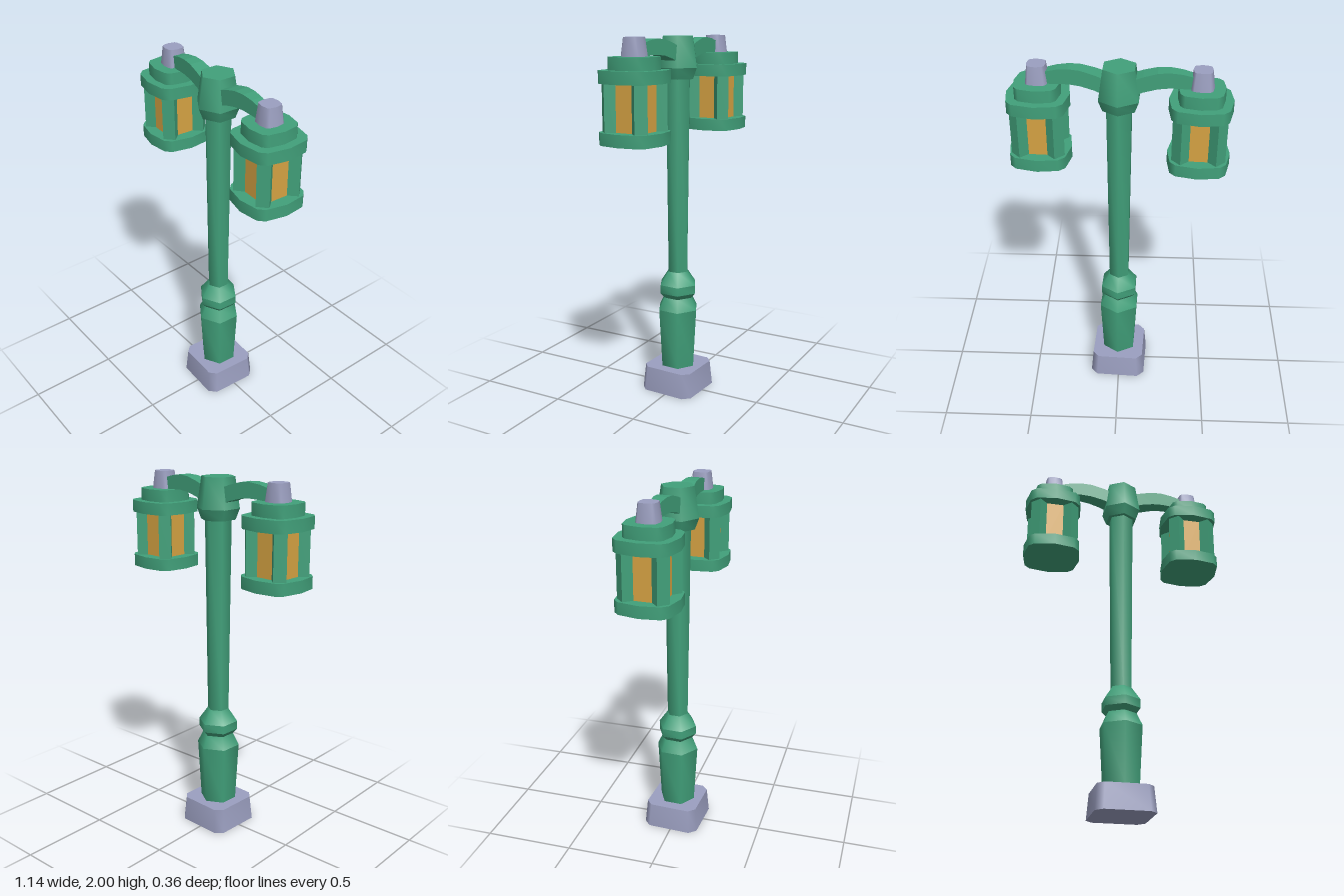
import * as THREE from 'three';

const mat = (name, color) => {
  const m = new THREE.MeshStandardMaterial({ color });
  m.name = name;
  return m;
};

// Closed prism: an [x, z] outline scaled at each [y, scale] level; sides smooth around, hard between levels.
function loft(outline, levels, flat = false) {
  const pos = [], idx = [], n = outline.length;
  const ring = ([y, s]) => {
    const start = pos.length / 3;
    outline.forEach(([x, z]) => pos.push(x * s, y, z * s));
    return start;
  };
  for (let k = 0; k < levels.length - 1; k++) {
    const lo = ring(levels[k]), hi = ring(levels[k + 1]);
    for (let i = 0; i < n; i++) {
      const j = (i + 1) % n;
      idx.push(lo + i, hi + i, hi + j, lo + i, hi + j, lo + j);
    }
  }
  const bottom = ring(levels[0]), top = ring(levels[levels.length - 1]);
  for (let i = 1; i < n - 1; i++) {
    idx.push(bottom, bottom + i, bottom + i + 1);
    idx.push(top, top + i + 1, top + i);
  }
  let g = new THREE.BufferGeometry();
  g.setAttribute('position', new THREE.Float32BufferAttribute(pos, 3));
  g.setIndex(idx);
  if (flat) g = g.toNonIndexed();
  g.computeVertexNormals();
  return g;
}

// Repeats the points of one side around four sides.
const fourfold = (side) => [0, 1, 2, 3].flatMap((q) => {
  const c = [1, 0, -1, 0][q], s = [0, 1, 0, -1][q];
  return side.map(([x, z]) => [x * c - z * s, x * s + z * c]);
});

// Curved arm in profile, tapering in depth towards the lantern.
function armGeometry() {
  const upper = [[0.06, 1.945], [0.12, 1.967], [0.19, 1.986], [0.25, 1.99], [0.31, 1.983], [0.38, 1.965]];
  const lower = [[0.38, 1.9], [0.31, 1.907], [0.25, 1.909], [0.19, 1.903], [0.12, 1.885], [0.06, 1.86]];
  const shape = new THREE.Shape([...upper, ...lower].map(([x, y]) => new THREE.Vector2(x, y)));
  const g = new THREE.ExtrudeGeometry(shape, { depth: 2, bevelEnabled: false });
  const p = g.attributes.position;
  for (let i = 0; i < p.count; i++) {
    const half = THREE.MathUtils.mapLinear(p.getX(i), 0.08, 0.36, 0.046, 0.028);
    p.setZ(i, (p.getZ(i) - 1) * half);
  }
  g.computeVertexNormals();
  return g;
}

export function createModel() {
  const green = mat('green paint', 0x41a07a);
  const stone = mat('grey stone', 0x9b9fc0);
  const amber = mat('amber glass', 0xd6a343);

  const model = new THREE.Group();
  model.name = 'streetLamp';
  const add = (parent, name, geometry, material) => {
    const m = new THREE.Mesh(geometry, material);
    m.name = name;
    parent.add(m);
    return m;
  };

  // Base and six-sided post
  const square = fourfold([[0.16, -0.122], [0.16, 0.122]]);
  const hexagon = Array.from({ length: 6 }, (_, i) => {
    const a = Math.PI / 6 + (i * Math.PI) / 3;
    return [Math.cos(a), Math.sin(a)];
  });
  add(model, 'base', loft(square, [[0, 1], [0.14, 0.925]]), stone);
  add(model, 'post', loft(hexagon, [
    [0.14, 0.102], [0.48, 0.121], [0.55, 0.087], [0.578, 0.111], [0.626, 0.111], [0.7, 0.06], [1.78, 0.073],
  ]), green);
  add(model, 'postHead', loft(hexagon, [[1.775, 0.094], [1.835, 0.117], [2, 0.091]]), green);

  // Lantern outlines: bulged square with cut corners, and one corner bar
  const bulged = fourfold([[0.162, 0], [0.141, 0.113], [0.11, 0.144]]);
  const corner = [[0.137, 0.09], [0.09, 0.137], [0.048, 0.097], [0.097, 0.048]];
  const barGeometry = loft(corner, [[1.53, 1], [1.78, 1]], true);
  const glassGeometry = new THREE.BoxGeometry(0.097, 0.25, 0.194);
  const arm = armGeometry();

  // Two opposite arms, each carrying a lantern
  for (const [side, turn] of [['left', 0], ['right', Math.PI]]) {
    const half = new THREE.Group();
    half.name = side + 'Branch';
    half.rotation.y = turn;
    model.add(half);
    add(half, 'arm', arm, green);

    const lantern = new THREE.Group();
    lantern.name = side + 'Lantern';
    lantern.position.x = 0.41;
    half.add(lantern);
    add(lantern, 'lowerRim', loft(bulged, [[1.47, 1], [1.535, 1]]), green);
    add(lantern, 'upperRim', loft(bulged, [[1.775, 1], [1.84, 1]]), green);
    add(lantern, 'roof', loft(bulged, [[1.84, 0.73], [1.905, 0.73]]), green);
    add(lantern, 'finial', loft(bulged, [[1.905, 0.37], [2, 0.3]]), stone);
    for (let q = 0; q < 4; q++) {
      add(lantern, 'cornerBar', barGeometry, green).rotation.y = (q * Math.PI) / 2;
    }
    for (let q = 0; q < 2; q++) {
      const glass = add(lantern, 'glass', glassGeometry, amber);
      glass.position.y = 1.655;
      glass.rotation.y = (q * Math.PI) / 2;
    }
  }

  model.rotation.y = -0.05;
  return model;
}
